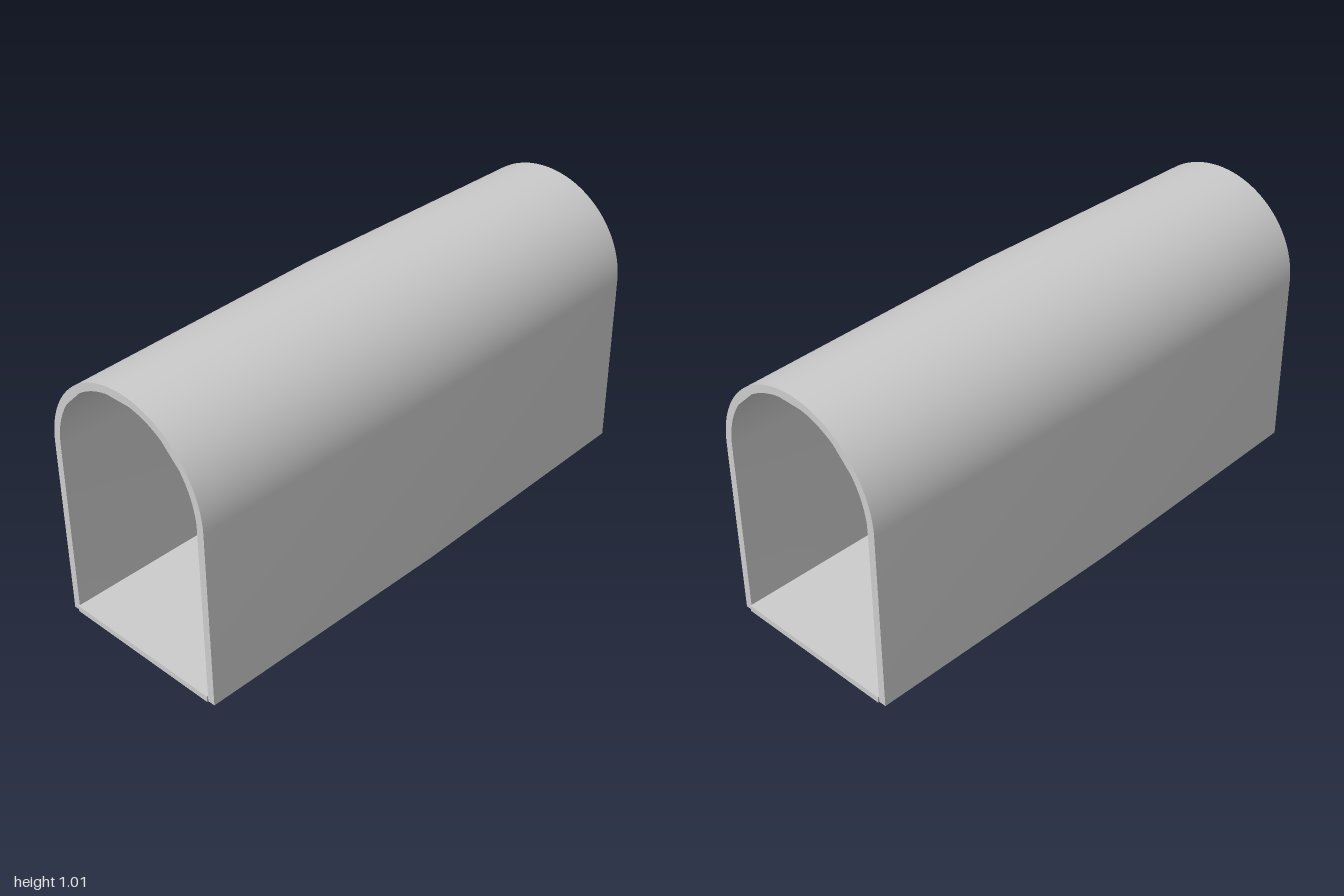
import * as THREE from 'three';
import { toCreasedNormals } from 'three/addons/utils/BufferGeometryUtils.js';

const SPRING = 0.66;       // height where the straight walls meet the arch
const OUTER = 0.35;        // half widths at the middle of the tunnel
const INNER = 0.295;
const HALF_LENGTH = 0.995;

// Arched shell: thickest in the middle, thinning evenly towards both ends
function shellGeometry() {
  const s = new THREE.Shape();
  s.moveTo(OUTER, 0);
  s.lineTo(OUTER, SPRING);
  s.absarc(0, SPRING, OUTER, 0, Math.PI, false);
  s.lineTo(-OUTER, 0);
  s.lineTo(-INNER, 0);
  s.lineTo(-INNER, SPRING);
  s.absarc(0, SPRING, INNER, Math.PI, 0, true);
  s.lineTo(INNER, 0);
  s.closePath();

  const geo = new THREE.ExtrudeGeometry(s, {
    depth: 2 * HALF_LENGTH, steps: 2, curveSegments: 32, bevelEnabled: false,
  });
  geo.translate(0, 0, -HALF_LENGTH);

  // Taper: the outside shrinks and the inside widens with distance from the middle
  const p = geo.attributes.position;
  for (let i = 0; i < p.count; i++) {
    const x = p.getX(i), y = p.getY(i);
    const rise = Math.max(y - SPRING, 0);
    const r = Math.hypot(x, rise);
    const t = Math.abs(p.getZ(i)) / HALF_LENGTH;
    const k = 1 + t * (r > (OUTER + INNER) / 2 ? -0.015 : 0.013) / r;
    p.setX(i, x * k);
    if (rise > 0) p.setY(i, SPRING + rise * k);
  }
  geo.rotateY(Math.PI / 2);
  return toCreasedNormals(geo, 0.5);
}

export function createModel() {
  const model = new THREE.Group();
  model.name = 'archedTunnel';
  const material = new THREE.MeshStandardMaterial({ color: 0xcccccc });

  const shell = new THREE.Mesh(shellGeometry(), material);
  shell.name = 'archedShell';

  // Thin floor slab, reaching just past the shell ends
  const floor = new THREE.Mesh(new THREE.BoxGeometry(2, 0.022, 0.616), material);
  floor.name = 'floor';
  floor.position.y = 0.011;

  model.add(shell, floor);
  return model;
}
